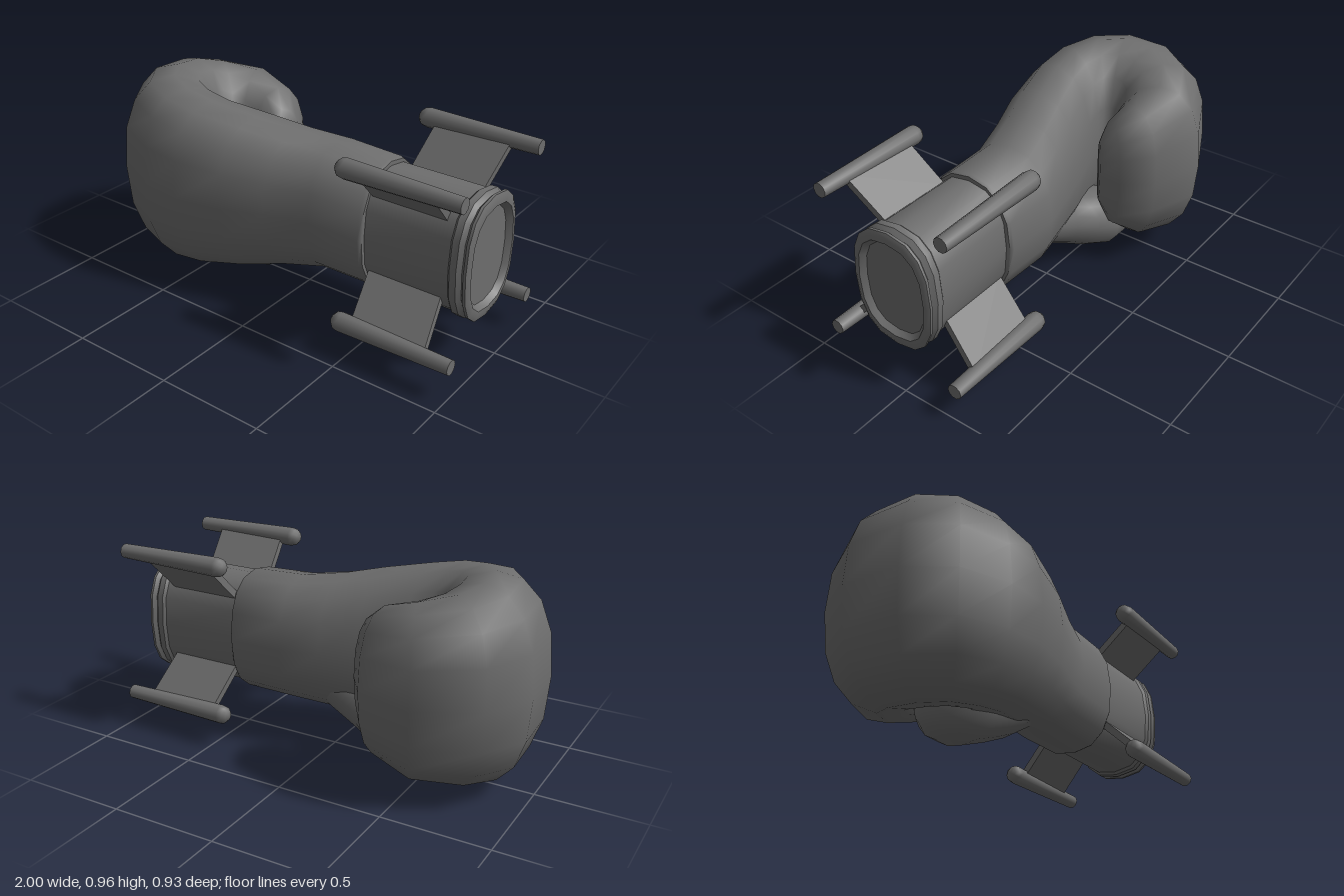
import * as THREE from 'three';
import { toCreasedNormals } from 'three/addons/utils/BufferGeometryUtils.js';

const mat = new THREE.MeshStandardMaterial({ color: 0x6e6e6e, side: THREE.DoubleSide });

// Skins a row of rounded 16-sided cross-sections, with both ends capped.
// Section: [ax, az, bx, bz, yMin, yMax]; a and b are the two sides of the ring in plan.
function loft(sections, power, crease) {
  const pos = [], index = [], sides = 16;
  const bend = v => Math.sign(v) * Math.abs(v) ** (2 / power);
  for (const [ax, az, bx, bz, y0, y1] of sections) {
    for (let j = 0; j < sides; j++) {
      const t = (j / sides) * Math.PI * 2;
      const c = bend(Math.cos(t)), s = bend(Math.sin(t));
      pos.push((ax + bx + (bx - ax) * c) / 2, (y0 + y1 + (y1 - y0) * s) / 2, (az + bz + (bz - az) * c) / 2);
    }
  }
  const n = sections.length;
  for (let i = 0; i < n - 1; i++) {
    for (let j = 0; j < sides; j++) {
      const k = (j + 1) % sides, a = i * sides, b = a + sides;
      index.push(a + j, a + k, b + j, a + k, b + k, b + j);
    }
  }
  for (const i of [0, n - 1]) {
    const [ax, az, bx, bz, y0, y1] = sections[i], centre = pos.length / 3;
    pos.push((ax + bx) / 2, (y0 + y1) / 2, (az + bz) / 2);
    for (let j = 0; j < sides; j++) {
      const a = i * sides + j, b = i * sides + (j + 1) % sides;
      index.push(centre, i ? a : b, i ? b : a);
    }
  }
  const g = new THREE.BufferGeometry();
  g.setAttribute('position', new THREE.Float32BufferAttribute(pos, 3));
  g.setIndex(index);
  return toCreasedNormals(g, crease);
}

// Ring square to the x axis
const ring = (x, z, y, hz, hy) => [x, z - hz, x, z + hz, y - hy, y + hy];

export function createModel() {
  const model = new THREE.Group();
  model.name = 'gloveRocket';
  const add = (name, geometry, parent = model) => {
    const mesh = new THREE.Mesh(geometry, mat);
    mesh.name = name;
    parent.add(mesh);
    return mesh;
  };

  // Padded glove: wrist, back of the hand and fingers curling over the palm
  add('glove', loft([
    [0.475, -0.13, 0.475, 0.24, 0.23, 0.76],
    [0.475, -0.16, 0.475, 0.27, 0.205, 0.785],
    [0.46, -0.17, 0.46, 0.28, 0.2, 0.79],
    [0.2, -0.18, 0.2, 0.285, 0.2, 0.8],
    [0.02, -0.13, 0, 0.345, 0.17, 0.825],
    [-0.15, -0.08, -0.2, 0.415, 0.125, 0.865],
    [-0.35, -0.015, -0.43, 0.46, 0.085, 0.905],
    [-0.44, 0.005, -0.63, 0.445, 0.06, 0.935],
    [-0.475, 0, -0.85, 0.35, 0.045, 0.955],
    [-0.49, -0.02, -0.985, 0.155, 0.04, 0.962],
    [-0.49, -0.035, -1, -0.12, 0.05, 0.95],
    [-0.48, -0.045, -0.88, -0.33, 0.075, 0.92],
    [-0.46, -0.06, -0.6, -0.465, 0.1, 0.885],
    [-0.41, -0.07, -0.33, -0.39, 0.15, 0.835],
    [-0.35, -0.07, -0.235, -0.25, 0.22, 0.765],
    [-0.31, -0.075, -0.25, -0.13, 0.33, 0.65],
  ], 2.35, 1.0));

  // Thumb tucked under the palm
  add('thumb', loft([
    ring(0.15, 0.06, 0.36, 0.1, 0.11),
    ring(0, 0.07, 0.31, 0.15, 0.14),
    ring(-0.15, 0.07, 0.225, 0.15, 0.145),
    ring(-0.24, 0.03, 0.19, 0.17, 0.15),
    ring(-0.35, 0, 0.155, 0.185, 0.155),
    ring(-0.43, -0.02, 0.15, 0.165, 0.14),
    ring(-0.5, -0.03, 0.145, 0.115, 0.1),
    ring(-0.53, -0.035, 0.145, 0.05, 0.045),
  ], 2.1, 1.0));

  // Tube behind the cuff with two ridges and a recessed end
  add('tailTube', loft([
    [0.95, 0.155, 0.215], [0.975, 0.175, 0.235], [0.975, 0.19, 0.262],
    [0.967, 0.207, 0.282], [0.955, 0.207, 0.282], [0.94, 0.19, 0.264],
    [0.922, 0.207, 0.282], [0.892, 0.207, 0.282], [0.88, 0.195, 0.27], [0.44, 0.195, 0.27],
  ].map(([x, hz, hy]) => ring(x, 0.055, 0.495, hz, hy)), 2.6, 0.6));

  // Four diagonal fins, each tipped with a tapered round-nosed rod
  const rodProfile = [[0, 0.42], [0.024, 0.424], [0.04, 0.44], [0.045, 0.465], [0.034, 1], [0, 1]]
    .map(([r, x]) => new THREE.Vector2(r, x));
  const fins = [
    ['upperFrontFin', 0.375, 0.868, 0.19, 0.69],
    ['upperBackFin', -0.26, 0.878, -0.09, 0.69],
    ['lowerFrontFin', 0.39, 0.152, 0.2, 0.34],
    ['lowerBackFin', -0.28, 0.155, -0.09, 0.34],
  ];
  for (const [name, z, y, rootZ, rootY] of fins) {
    const fin = new THREE.Group();
    fin.name = name;
    model.add(fin);

    const rod = add('rod', toCreasedNormals(new THREE.LatheGeometry(rodProfile, 10), 0.8), fin);
    rod.rotation.z = -Math.PI / 2;
    rod.position.set(0, y, z);

    // Swept plate, drawn flat and turned to run from root to rod
    const length = Math.hypot(z - rootZ, y - rootY);
    const plate = new THREE.Shape([[0.485, 0], [0.84, 0], [0.875, length], [0.515, length]]
      .map(p => new THREE.Vector2(...p)));
    const blade = add('blade', new THREE.ExtrudeGeometry(plate, { depth: 0.034, bevelEnabled: false })
      .translate(0, 0, -0.017), fin);
    blade.position.set(0, rootY, rootZ);
    blade.rotation.x = Math.atan2(z - rootZ, y - rootY);
  }
  return model;
}
